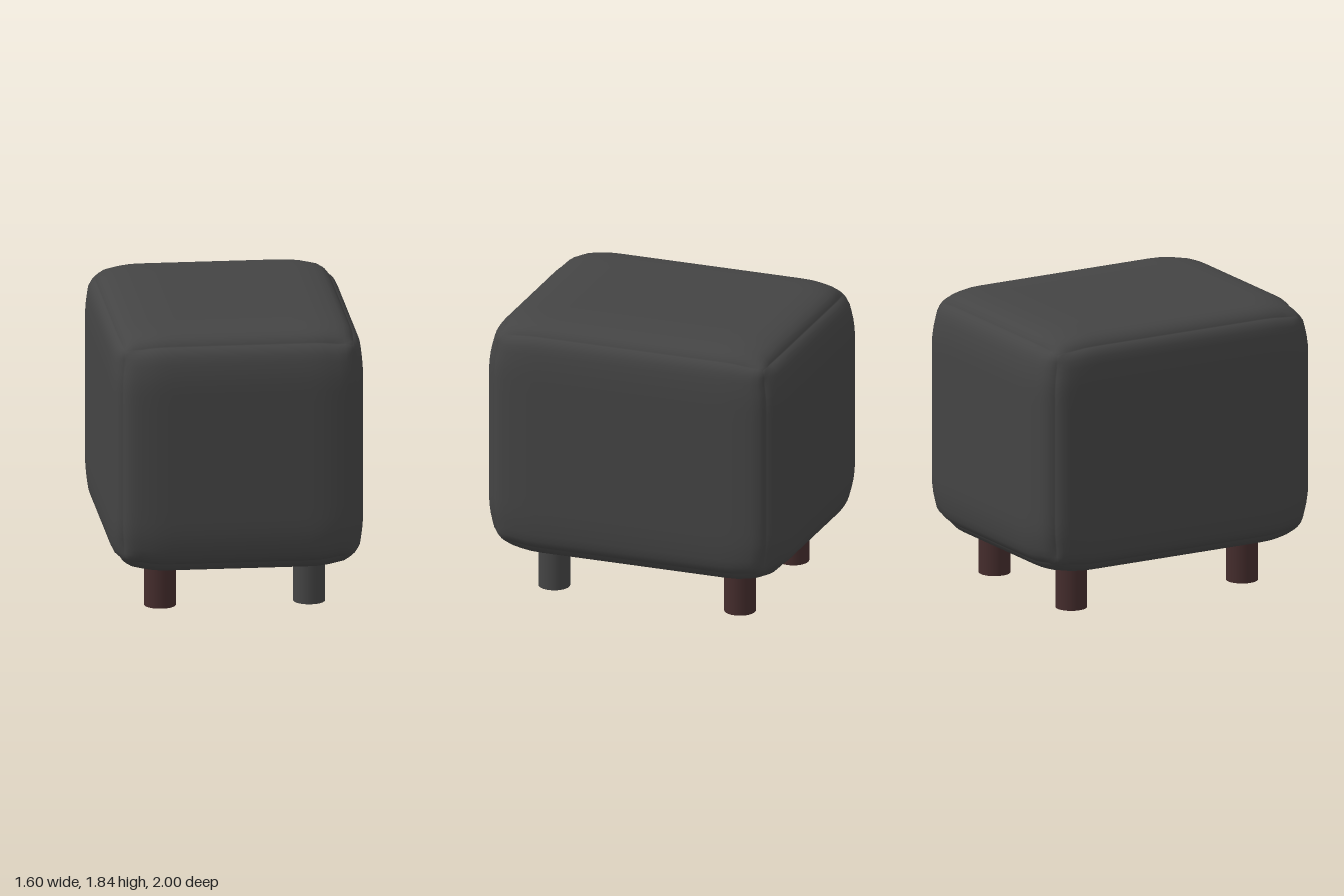
import * as THREE from 'three';
import { mergeVertices } from 'three/addons/utils/BufferGeometryUtils.js';

const HALF = [0.8, 0.79, 1.0];
const EDGE = 0.1;    // tight rounding along the edges
const SOFT = 0.32;   // width of the broad, soft falloff towards each edge
const INSET = [0.035, 0.055, 0.06];

// Box with tightly rounded edges and gently bulging faces
function cushionGeometry() {
  let g = new THREE.BoxGeometry(2, 2, 2, 26, 26, 26);
  g.deleteAttribute('uv');
  g.deleteAttribute('normal');
  g = mergeVertices(g);
  const pos = g.attributes.position;
  const falloff = (v, i) => Math.max(0, 1 - (HALF[i] - Math.abs(v)) / SOFT) ** 2;
  for (let n = 0; n < pos.count; n++) {
    // crowd the grid lines towards the edges
    const p = [pos.getX(n), pos.getY(n), pos.getZ(n)]
      .map((u, i) => HALF[i] * Math.sin(u * Math.PI / 2));
    const core = p.map((v, i) => THREE.MathUtils.clamp(v, EDGE - HALF[i], HALF[i] - EDGE));
    const d = p.map((v, i) => v - core[i]);
    const len = Math.hypot(...d);
    const f = p.map(falloff);
    const q = p.map((v, i) => {
      const others = Math.min(1.3, f[(i + 1) % 3] + f[(i + 2) % 3]);
      const rounded = core[i] + EDGE * d[i] / len;
      return rounded - (v / HALF[i]) * INSET[i] * others;
    });
    pos.setXYZ(n, ...q);
  }
  g.computeVertexNormals();
  return g;
}

export function createModel() {
  const group = new THREE.Group();
  const fabric = new THREE.MeshStandardMaterial({ color: 0x444444 });
  const wood = new THREE.MeshStandardMaterial({ color: 0x442c2c });

  // Upholstered block
  const cushion = new THREE.Mesh(cushionGeometry(), fabric);
  cushion.name = 'cushion';
  cushion.position.y = 1.05;
  group.add(cushion);

  // Four round legs, one in the cushion colour
  const legGeometry = new THREE.CylinderGeometry(0.1, 0.1, 0.36, 32);
  const legs = [
    ['frontLeftLeg', 0.47, 0.61, fabric],
    ['frontRightLeg', -0.47, 0.61, wood],
    ['backLeftLeg', 0.47, -0.635, wood],
    ['backRightLeg', -0.47, -0.635, wood],
  ];
  for (const [name, x, z, material] of legs) {
    const leg = new THREE.Mesh(legGeometry, material);
    leg.name = name;
    leg.position.set(x, 0.18, z);
    group.add(leg);
  }
  return group;
}
